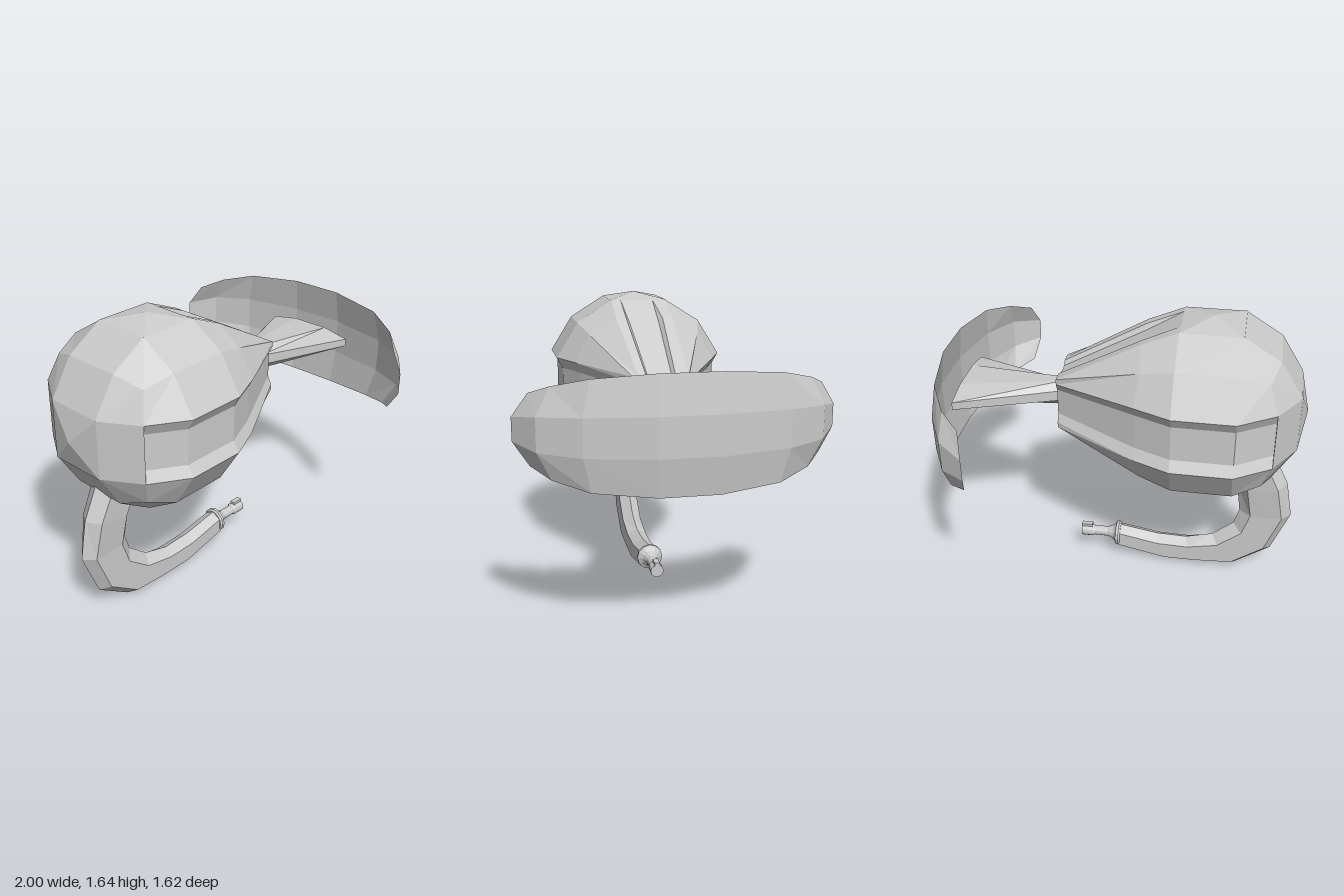
import * as THREE from 'three';

const CY = 1.125, CZ = 0.02; // axis of the body
const V = (x, y, z) => new THREE.Vector3(x, y, z);

function material(side = THREE.FrontSide) {
  return new THREE.MeshStandardMaterial({ color: 0xcccccc, flatShading: true, side });
}

function add(group, name, geometry, side) {
  const mesh = new THREE.Mesh(geometry, material(side));
  mesh.name = name;
  group.add(mesh);
  return mesh;
}

// Skin a list of equal-length rings of points
function loft(rings, closed = true) {
  const n = rings[0].length, index = [];
  for (let i = 0; i < rings.length - 1; i++) {
    for (let j = 0; j < (closed ? n : n - 1); j++) {
      const a = i * n + j, b = i * n + (j + 1) % n;
      index.push(a, b, a + n, b, b + n, a + n);
    }
  }
  const g = new THREE.BufferGeometry().setFromPoints(rings.flat());
  g.setIndex(index);
  g.computeVertexNormals();
  return g;
}

// A ring shrunk to its middle, used to close a loft
function collapse(ring) {
  const mid = V(0, 0, 0);
  ring.forEach(p => mid.addScaledVector(p, 1 / ring.length));
  return ring.map(() => mid.clone());
}

// Body cross-section: flats at distance a and half width b, corners at c,
// side grooves of depth gs and a top groove of depth gt
function bodyRing({ x, xc = x, a, b, c, gs = 0, gt = 0, s = 1 }) {
  const top = [[a, -b], [a, -0.65 * b], [a - gt, -0.52 * b],
    [a - gt, 0.52 * b], [a, 0.65 * b], [a, b]];
  const side = [[b, a], [0.62 * b, a - gs], [-0.62 * b, a - gs], [-b, a]];
  const pt = ([y, z]) => V(x, CY + y * s, CZ + z * s);
  const corner = (y, z) => V(xc, CY + y * s, CZ + z * s);
  return [
    ...top.map(pt), corner(c, c),
    ...side.map(pt), corner(-c, c),
    pt([-a, b]), pt([-a, -b]), corner(-c, -c),
    ...side.map(([y, z]) => pt([-y, -z])), corner(c, -c),
  ];
}

function buildBody(group) {
  const shoulder = { x: -0.83, xc: -0.78, a: 0.36, b: 0.16, c: 0.31 };
  const belly = { a: 0.485, b: 0.16, c: 0.36, gs: 0.035 };
  const mouth = { x: 0.36, a: 0.15, b: 0.12, c: 0.15, gs: 0.025, gt: 0.025 };
  const rings = [
    { x: -0.955, a: 0.16, b: 0.16, c: 0.16 },
    shoulder,
    { ...shoulder, gs: 0.035 },
    { ...belly, x: -0.63 },
    { ...belly, x: -0.3 },
    { x: -0.1, xc: -0.12, a: 0.4, b: 0.16, c: 0.315, gs: 0.035, gt: 0.03 },
    mouth,
    { ...mouth, s: 0.85 },
    { ...mouth, x: 0.2, s: 0.8 },
  ].map(bodyRing);
  rings.push(collapse(rings[rings.length - 1]));
  add(group, 'body', loft(rings));

  // Shallow pyramids on the crown, the underside and the rear
  const pyramid = h => new THREE.ConeGeometry(0.164 * Math.SQRT2, h, 4, 1, true)
    .rotateY(Math.PI / 4).translate(0, h / 2, 0);
  add(group, 'crown', pyramid(0.038)).position.set(-0.465, CY + 0.485, CZ);
  const under = add(group, 'underside', pyramid(0.038));
  under.position.set(-0.465, CY - 0.485, CZ);
  under.rotation.x = Math.PI;
  const rear = add(group, 'rear', pyramid(0.045));
  rear.position.set(-0.955, CY, CZ);
  rear.rotation.z = Math.PI / 2;
}

function buildNozzle(group) {
  // Fan-shaped neck: [x, half height, half depth]
  const rings = [[0.2, 0.08, 0.04], [0.36, 0.072, 0.065], [0.915, 0.052, 0.274]].map(([x, h, d]) =>
    Array.from({ length: 8 }, (_, k) => {
      const t = (k + 0.5) * Math.PI / 4, r = 1 / Math.cos(Math.PI / 8);
      return V(x, CY + 0.005 + Math.cos(t) * h * r, CZ - 0.005 + Math.sin(t) * d * r);
    }));
  rings.push(collapse(rings[2]));
  add(group, 'nozzle', loft(rings));
}

function buildShield(group) {
  // Half of the columns: [inner x, y, z, rim x, y, z]
  const half = [
    [1.0, 0.1, 0.16, 0.972, 0.295, 0.15],
    [0.935, 0.095, 0.5, 0.915, 0.27, 0.46],
    [0.83, 0.085, 0.705, 0.82, 0.225, 0.635],
    [0.685, 0.06, 0.81, 0.715, 0.178, 0.73],
  ];
  const column = sign => ([x, y, z, rx, ry, rz]) => [
    [rx, ry, rz], [x, y, z], [x, -y, z], [rx, -ry, rz],
  ].map(([px, py, pz]) => V(px, 1.105 + py, 0.005 + sign * pz));
  const columns = [...half.slice().reverse().map(column(-1)), ...half.map(column(1))];
  add(group, 'shield', loft(columns, false), THREE.DoubleSide);
}

function buildArm(group) {
  // Hooked arm stations: [outer x, y, inner x, y, half depth]
  const stations = [
    [-0.85, 0.82, -0.58, 0.74, 0.08],
    [-0.94, 0.63, -0.655, 0.59, 0.075],
    [-0.98, 0.41, -0.68, 0.41, 0.058],
    [-0.88, 0.15, -0.65, 0.31, 0.058],
    [-0.68, 0.012, -0.53, 0.21, 0.058],
    [-0.44, 0.005, -0.37, 0.165, 0.058],
    [-0.26, 0.003, -0.19, 0.17, 0.058],
    [0.04, 0.065, 0.04, 0.21, 0.055],
  ];
  const rings = stations.map(([ox, oy, ix, iy, d]) =>
    [[0.78, -1], [1, 0], [0.78, 1], [0.18, 1], [0, 0], [0.18, -1]].map(([t, s]) =>
      V(ox + (ix - ox) * t, oy + (iy - oy) * t, CZ + s * d)));
  rings.push(collapse(rings[rings.length - 1]));
  add(group, 'arm', loft(rings));

  // Round collar and plug on the end of the arm
  const profile = [[0, 0.03], [0.065, 0.03], [0.074, 0.04], [0.074, 0.055], [0.06, 0.062], [0.045, 0.075],
    [0.03, 0.11], [0.029, 0.19], [0.037, 0.205], [0.037, 0.27], [0, 0.27]];
  const plug = new THREE.LatheGeometry(profile.map(([r, h]) => new THREE.Vector2(r, h)), 12);
  const mesh = add(group, 'plug', plug.rotateZ(-Math.PI / 2));
  mesh.position.set(0, 0.145, CZ);
  add(group, 'plugKey', new THREE.BoxGeometry(0.065, 0.02, 0.03)).position.set(0.24, 0.184, CZ);
}

export function createModel() {
  const group = new THREE.Group();
  buildBody(group);
  buildNozzle(group);
  buildShield(group);
  buildArm(group);
  return group;
}
